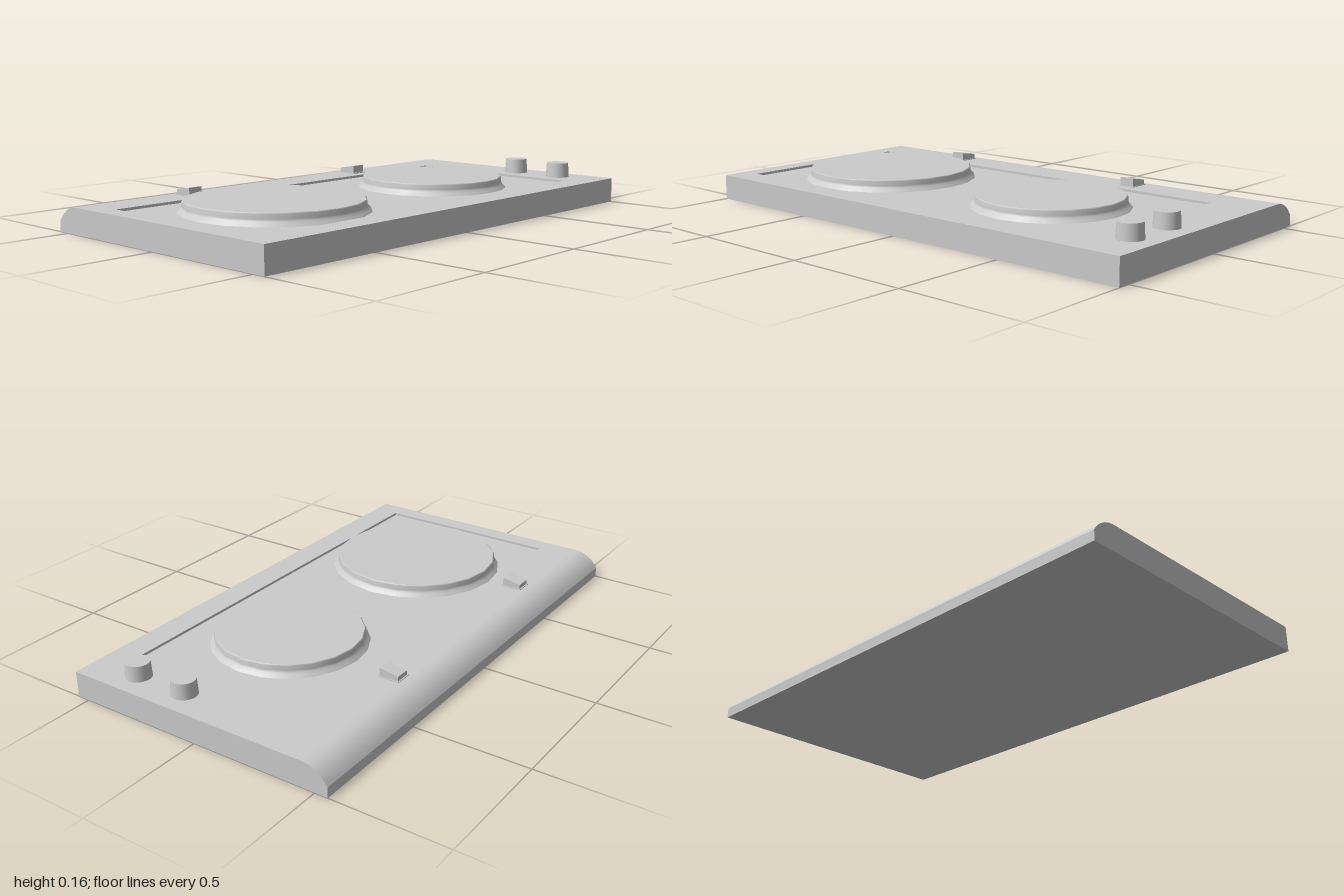
import * as THREE from 'three';
import { mergeGeometries } from 'three/addons/utils/BufferGeometryUtils.js';

const TOP = 0.1, FLOOR = 0.09;
const material = new THREE.MeshStandardMaterial({ color: 0xcccccc });

function mesh(name, geometry, x = 0, y = 0, z = 0) {
  const m = new THREE.Mesh(geometry, material);
  m.name = name;
  m.position.set(x, y, z);
  return m;
}

// Flat four-cornered face, corners counter-clockwise seen from outside
function quad(a, b, c, d) {
  const g = new THREE.BufferGeometry();
  g.setAttribute('position', new THREE.Float32BufferAttribute([a, b, c, d].flat(), 3));
  g.setIndex([0, 1, 2, 0, 2, 3]);
  g.computeVertexNormals();
  return g;
}

// Smooth strip that follows profile points and runs the whole length in z
function strip(points) {
  const pos = [], index = [];
  points.forEach((p, i) => {
    pos.push(p.x, p.y, -1, p.x, p.y, 1);
    if (i) {
      const k = 2 * i - 2;
      index.push(k, k + 1, k + 3, k, k + 3, k + 2);
    }
  });
  const g = new THREE.BufferGeometry();
  g.setAttribute('position', new THREE.Float32BufferAttribute(pos, 3));
  g.setIndex(index);
  g.computeVertexNormals();
  return g;
}

function createBody() {
  const group = new THREE.Group();
  group.name = 'body';
  const v = (x, y) => new THREE.Vector2(x, y);

  // Rounded left edge, side walls and underside
  const curve = new THREE.QuadraticBezierCurve(v(-0.55, 0.04), v(-0.51, TOP), v(-0.445, TOP)).getPoints(12);
  const right = [v(0.55, TOP), v(0.55, 0)], left = [v(-0.55, 0), v(-0.55, 0.04)];
  const sides = [curve, right, [right[1], left[0]], left].map(strip);

  // End walls
  const outline = [left[0], ...curve, ...right];
  for (const s of [1, -1]) {
    const cap = new THREE.ShapeGeometry(new THREE.Shape(outline.map(p => v(p.x * s, p.y))));
    cap.translate(0, 0, 1);
    if (s < 0) cap.rotateY(Math.PI);
    cap.deleteAttribute('uv');
    sides.push(cap);
  }
  group.add(mesh('casing', mergeGeometries(sides)));

  // Top frame around the shallow recess, recess walls and floor
  const corners = (x0, x1, z0, z1, y) => [[x0, y, z0], [x0, y, z1], [x1, y, z1], [x1, y, z0]];
  const outer = corners(-0.445, 0.55, -1, 1, TOP);
  const rim = corners(-0.31, 0.445, -0.8, 0.925, TOP);
  const floor = corners(-0.31, 0.445, -0.8, 0.925, FLOOR);
  const frame = [], recess = [quad(...floor)];
  for (let i = 0; i < 4; i++) {
    const j = (i + 1) % 4;
    frame.push(quad(outer[i], outer[j], rim[j], rim[i]));
    recess.push(quad(rim[i], rim[j], floor[j], floor[i]));
  }
  group.add(mesh('topFrame', mergeGeometries(frame)), mesh('recess', mergeGeometries(recess)));
  return group;
}

// Hot plate with a flared foot and flat top
function createHotPlate(radius, x, z) {
  const group = new THREE.Group();
  group.name = 'hotPlate';
  group.position.set(x, FLOOR, z);
  const profile = [[0.022, 0], [0.015, 0.008], [0.007, 0.016], [0.004, 0.024], [0.004, 0.041], [0, 0.045]]
    .map(([dr, y]) => new THREE.Vector2(radius + dr, y));
  group.add(mesh('plateRim', new THREE.LatheGeometry(profile, 20)));
  const disc = new THREE.CircleGeometry(radius, 20).rotateX(-Math.PI / 2);
  group.add(mesh('plateTop', disc, 0, 0.045, 0));
  return group;
}

// Sloped switch on a thin flange
function createSwitch(x, z) {
  const group = new THREE.Group();
  group.name = 'switch';
  group.position.set(x, TOP, z);
  group.add(mesh('switchFlange', new THREE.BoxGeometry(0.086, 0.003, 0.068), 0, 0.0015, 0));
  const wedge = new THREE.BoxGeometry(0.076, 0.034, 0.06).translate(0, 0.017, 0);
  const p = wedge.attributes.position;
  for (let i = 0; i < p.count; i++) {
    if (p.getY(i) > 0.01 && p.getX(i) < 0) p.setY(i, 0.021);
  }
  wedge.computeVertexNormals();
  group.add(mesh('switchWedge', wedge));
  return group;
}

export function createModel() {
  const model = new THREE.Group();
  model.name = 'cooktop';
  model.add(createBody());
  model.add(createHotPlate(0.33, 0.07, 0.507), createHotPlate(0.28, 0.085, -0.36));
  for (const z of [-0.39, 0.525]) model.add(createSwitch(-0.395, z));
  // Control knobs
  for (const x of [0.13, 0.345]) {
    model.add(mesh('knob', new THREE.CylinderGeometry(0.045, 0.049, 0.06, 24), x, TOP + 0.03, -0.895));
  }
  return model;
}
